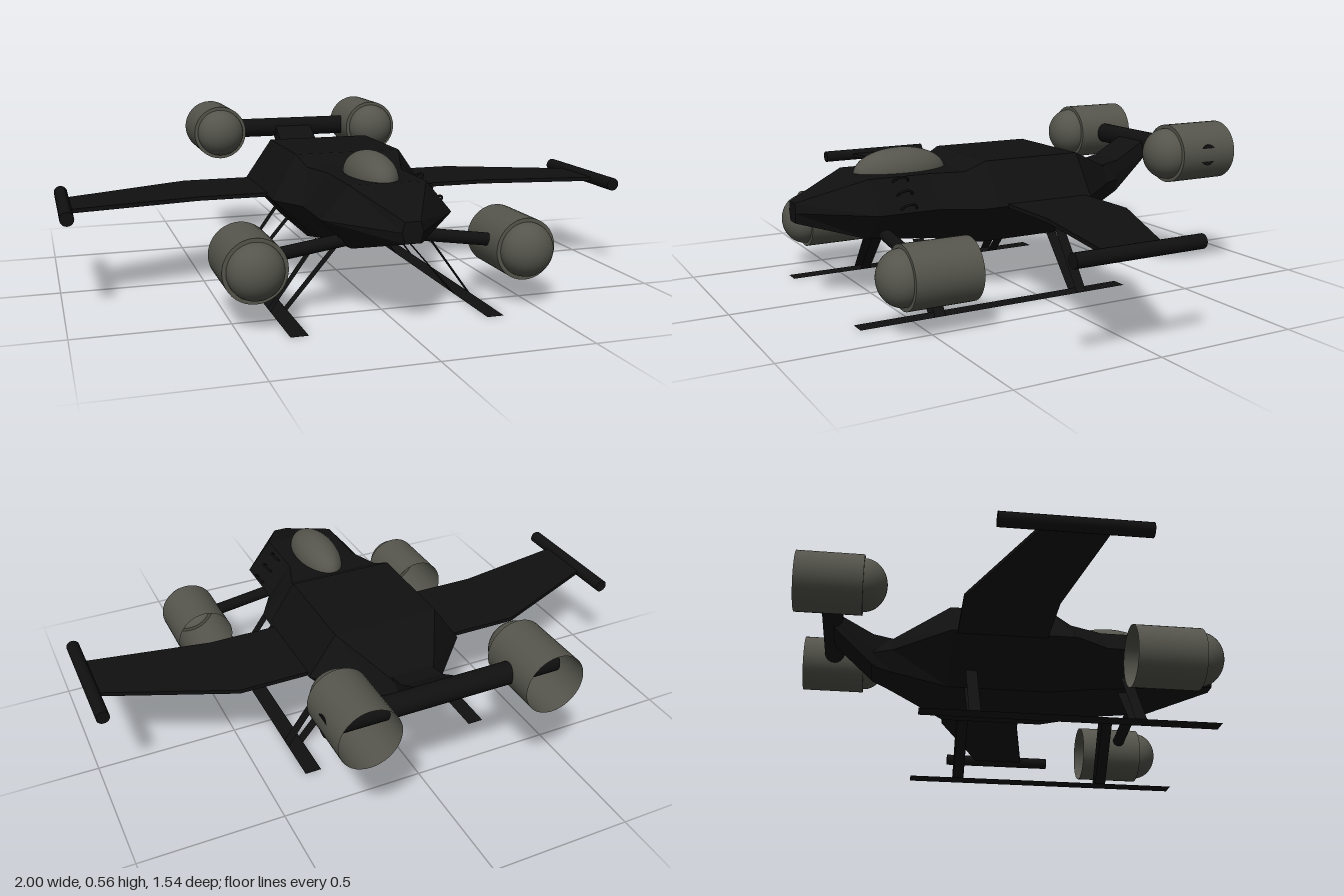
import * as THREE from 'three';

const dark = new THREE.MeshStandardMaterial({ color: 0x101010, side: THREE.DoubleSide });
dark.name = 'black hull paint';
const grey = new THREE.MeshStandardMaterial({ color: 0x55554d, side: THREE.DoubleSide });
grey.name = 'warm grey metal';

function add(parent, name, geometry, material, x = 0, y = 0, z = 0) {
  const mesh = new THREE.Mesh(geometry, material);
  mesh.name = name;
  mesh.position.set(x, y, z);
  parent.add(mesh);
  return mesh;
}

// Round bar between two points
function bar(parent, name, a, b, radius) {
  const from = new THREE.Vector3(...a), to = new THREE.Vector3(...b);
  const dir = to.clone().sub(from);
  const mesh = add(parent, name, new THREE.CylinderGeometry(radius, radius, dir.length(), 20), dark);
  mesh.position.copy(from).add(to).multiplyScalar(0.5);
  mesh.quaternion.setFromUnitVectors(new THREE.Vector3(0, 1, 0), dir.normalize());
}

// Flat-faced loft through six-sided sections: [z, top half, middle half, bottom half, yTop, yMid, yBottom]
function loft(sections) {
  const rings = sections.map(([z, t, m, b, yt, ym, yb]) => [
    [m, ym, z], [t, yt, z], [-t, yt, z], [-m, ym, z], [-b, yb, z], [b, yb, z],
  ]);
  const pos = [];
  const tri = (...corners) => corners.forEach((c) => pos.push(...c));
  for (let r = 0; r < rings.length - 1; r++) {
    const a = rings[r], b = rings[r + 1];
    for (let i = 0; i < 6; i++) {
      const j = (i + 1) % 6;
      tri(a[i], b[i], a[j]);
      tri(b[i], b[j], a[j]);
    }
  }
  const first = rings[0], last = rings[rings.length - 1];
  for (let i = 1; i < 5; i++) {
    tri(first[0], first[i], first[i + 1]);
    tri(last[0], last[i + 1], last[i]);
  }
  const geometry = new THREE.BufferGeometry();
  geometry.setAttribute('position', new THREE.Float32BufferAttribute(pos, 3));
  geometry.computeVertexNormals();
  return geometry;
}

// Hollow engine pod, domed at the front and open at the back
function engine(parent, name, x, y, zBack) {
  const pod = new THREE.Group();
  pod.name = name;
  pod.position.set(x, y, zBack);
  const length = 0.232, radius = 0.105, domeRadius = 0.092;
  const shell = new THREE.CylinderGeometry(radius, radius, length, 40, 1, true).rotateX(Math.PI / 2);
  add(pod, 'engineShell', shell, grey, 0, 0, length / 2);
  add(pod, 'engineRim', new THREE.RingGeometry(domeRadius, radius, 40), grey, 0, 0, length);
  const dome = new THREE.SphereGeometry(domeRadius, 40, 14, 0, Math.PI * 2, 0, Math.PI / 2)
    .rotateX(Math.PI / 2).scale(1, 1, 0.88);
  add(pod, 'engineDome', dome, grey, 0, 0, length);
  parent.add(pod);
}

// Four-cornered sheet
function sheet(a, b, c, d) {
  const geometry = new THREE.BufferGeometry();
  geometry.setAttribute('position', new THREE.Float32BufferAttribute([...a, ...b, ...c, ...a, ...c, ...d], 3));
  geometry.computeVertexNormals();
  return geometry;
}

export function createModel() {
  const craft = new THREE.Group();
  craft.name = 'hoverCraft';

  // Faceted body
  add(craft, 'hull', loft([
    [0.77, 0.025, 0.035, 0.025, 0.358, 0.325, 0.29],
    [0.55, 0.13, 0.22, 0.12, 0.435, 0.328, 0.23],
    [0.33, 0.13, 0.22, 0.13, 0.435, 0.328, 0.21],
    [0.21, 0.17, 0.29, 0.145, 0.438, 0.328, 0.19],
    [0.14, 0.19, 0.29, 0.15, 0.472, 0.328, 0.177],
    [-0.23, 0.19, 0.29, 0.15, 0.472, 0.328, 0.177],
    [-0.43, 0.08, 0.11, 0.08, 0.387, 0.328, 0.255],
    [-0.5, 0.06, 0.075, 0.065, 0.365, 0.33, 0.283],
  ]), dark);

  // Rising tail boom
  add(craft, 'tailBoom', loft([
    [-0.40, 0.075, 0.075, 0.07, 0.385, 0.33, 0.27],
    [-0.50, 0.075, 0.075, 0.07, 0.405, 0.35, 0.287],
    [-0.65, 0.075, 0.075, 0.075, 0.49, 0.46, 0.43],
  ]), dark);
  bar(craft, 'tailCrossbar', [-0.4, 0.462, -0.65], [0.42, 0.462, -0.65], 0.038);

  // Canopy
  add(craft, 'canopy', new THREE.SphereGeometry(1, 40, 24).scale(0.08, 0.083, 0.17), grey, 0, 0.43, 0.38);

  // Wings, one plate through the body
  const half = [[0.53, -0.21], [0.97, -0.02], [0.97, 0.182], [0.53, 0.105]];
  const outline = [...half, ...half.map(([x, z]) => [-x, z]).reverse()];
  const plan = new THREE.Shape(outline.map(([x, z]) => new THREE.Vector2(x, -z)));
  const wing = new THREE.ExtrudeGeometry(plan, { depth: 0.014, bevelEnabled: false }).rotateX(-Math.PI / 2);
  add(craft, 'wings', wing, dark, 0, 0.321, 0);

  for (const s of [1, -1]) {
    const side = s > 0 ? 'left' : 'right';
    bar(craft, side + 'WingTip', [s * 0.977, 0.328, -0.155], [s * 0.977, 0.328, 0.3], 0.023);
    bar(craft, side + 'EngineArm', [s * 0.12, 0.25, 0.5], [s * 0.375, 0.213, 0.5], 0.022);

    // Flat skid hung on pairs of slanted straps
    const skid = new THREE.PlaneGeometry(0.058, 1.015).rotateX(-Math.PI / 2);
    add(craft, side + 'Skid', skid, dark, s * 0.327, 0.003, 0.172);
    for (const [label, z] of [['Front', 0.4], ['Rear', -0.153]]) {
      for (const [part, xTop, yTop, xFoot] of [['OuterStrap', 0.19, 0.23, 0.355], ['InnerStrap', 0.13, 0.2, 0.299]]) {
        const strap = sheet(
          [s * xTop, yTop, z - 0.02], [s * xTop, yTop, z + 0.02],
          [s * xFoot, 0.003, z + 0.02], [s * xFoot, 0.003, z - 0.02]);
        add(craft, side + label + part, strap, dark);
      }
    }
  }

  // Engines
  engine(craft, 'leftFrontEngine', 0.475, 0.192, 0.355);
  engine(craft, 'rightFrontEngine', -0.44, 0.192, 0.355);
  engine(craft, 'leftRearEngine', 0.318, 0.462, -0.77);
  engine(craft, 'rightRearEngine', -0.325, 0.462, -0.77);

  // Grab hoops down the left flank
  for (const [x, y] of [[0.14, 0.42], [0.175, 0.38], [0.21, 0.34]]) {
    const hoop = new THREE.TorusGeometry(0.027, 0.004, 6, 16, Math.PI).rotateY(Math.PI / 2);
    add(craft, 'grabHoop', hoop, dark, x, y, 0.44).rotation.z = -0.85;
  }
  return craft;
}
